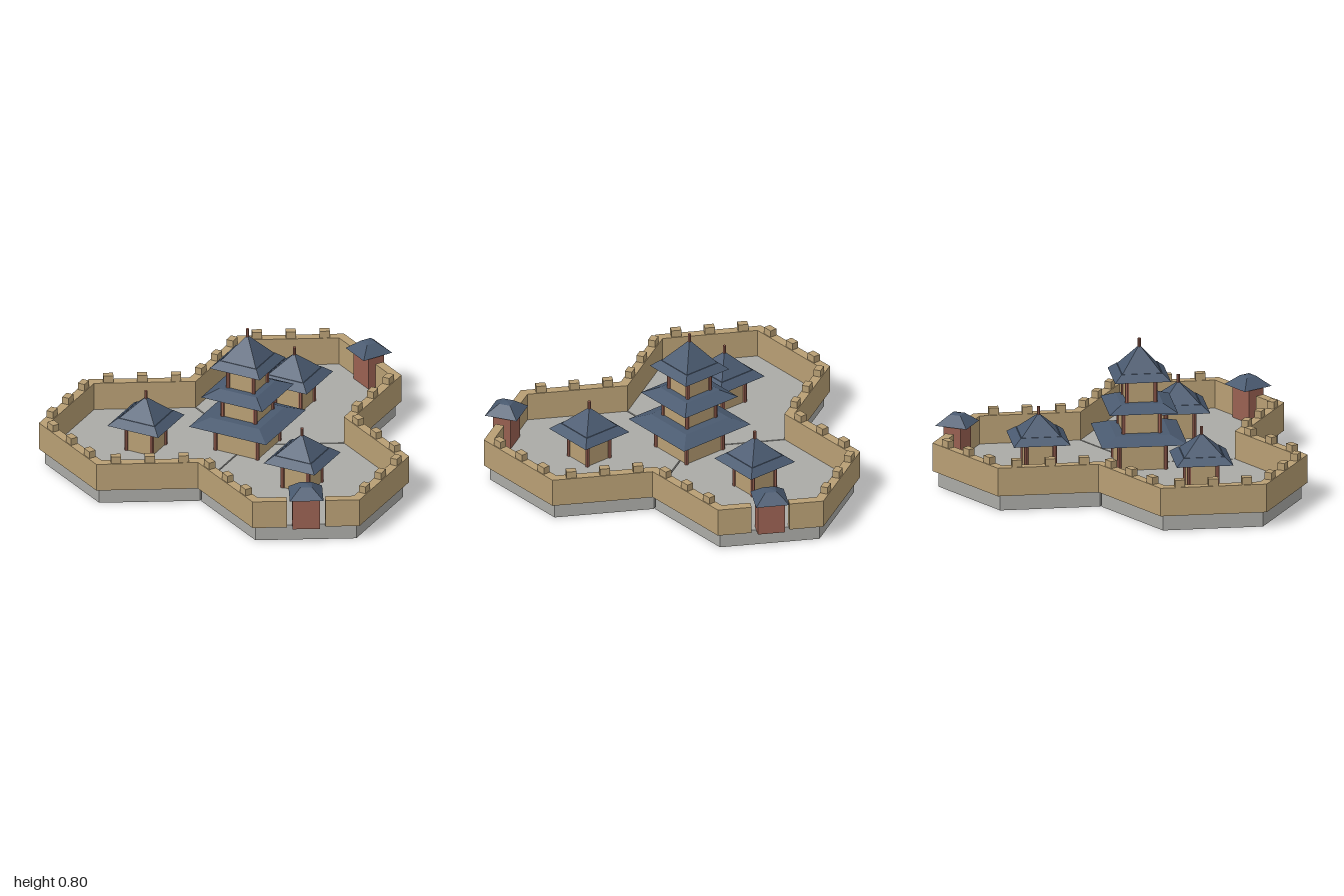
import * as THREE from 'three';

const mat = (color) => new THREE.MeshStandardMaterial({ color, flatShading: true });
const STONE = mat(0xaaaaa6), TAN = mat(0xb89f74), RED = mat(0x9a6152), ROOF = mat(0x4a5a70);

const FLOOR = 0.09, WALL_TOP = 0.25, HALF_WALL = 0.025, GATE_GAP = 0.105;
const APOTHEM = 0.48, R = APOTHEM / Math.cos(Math.PI / 6);

function add(parent, name, geometry, material, x = 0, y = 0, z = 0) {
  const mesh = new THREE.Mesh(geometry, material);
  mesh.name = name;
  mesh.position.set(x, y, z);
  parent.add(mesh);
  return mesh;
}

// Square frustum standing on y = 0, sized by half widths
function frustum(bottom, top, height) {
  return new THREE.CylinderGeometry(top * Math.SQRT2, bottom * Math.SQRT2, height, 4)
    .rotateY(Math.PI / 4).translate(0, height / 2, 0);
}

// One storey: body, corner posts and a flared skirt roof
function storey(parent, y, height, body, roofBottom, roofTop) {
  add(parent, 'storeyWalls', new THREE.BoxGeometry(body * 2 - 0.02, height, body * 2 - 0.02), TAN, 0, y + height / 2, 0);
  const p = body - 0.012;
  for (const sx of [-1, 1]) for (const sz of [-1, 1]) {
    add(parent, 'cornerPost', new THREE.CylinderGeometry(0.012, 0.012, height, 8), RED, sx * p, y + height / 2, sz * p);
  }
  add(parent, 'skirtRoof', frustum(roofBottom, roofTop, 0.038), ROOF, 0, y + height, 0);
}

// Stack of storeys closed by a pyramid roof and a finial
function pagoda(name, x, z, storeys, peak) {
  const group = new THREE.Group();
  group.name = name;
  group.position.set(x, 0, z);
  let y = FLOOR;
  for (const [body, roofBottom, roofTop] of storeys) {
    storey(group, y, y === FLOOR ? 0.163 : 0.132, body, roofBottom, roofTop);
    y += y === FLOOR ? 0.201 : 0.17;
  }
  y = y - 0.003;
  add(group, 'peakRoof', frustum(0.11, 0, peak), ROOF, 0, y, 0);
  add(group, 'finial', new THREE.CylinderGeometry(0.009, 0.009, 0.06, 8), RED, 0, y + peak + 0.007, 0);
  return group;
}

// Mitred wall strip following an open path
function wallStrip(path) {
  const dirs = path.slice(1).map((p, i) => p.clone().sub(path[i]).normalize());
  const offset = (side) => path.map((p, i) => {
    const a = dirs[Math.max(i - 1, 0)], b = dirs[Math.min(i, dirs.length - 1)];
    const n = new THREE.Vector2(-a.y - b.y, a.x + b.x).normalize();
    const miter = HALF_WALL / n.dot(new THREE.Vector2(-a.y, a.x));
    return new THREE.Vector2(p.x + n.x * miter * side, -(p.y + n.y * miter * side));
  });
  const shape = new THREE.Shape([...offset(1), ...offset(-1).reverse()]);
  return new THREE.ExtrudeGeometry(shape, { depth: WALL_TOP - FLOOR, bevelEnabled: false })
    .rotateX(-Math.PI / 2).translate(0, FLOOR, 0);
}

function gatehouse(a, b) {
  const group = new THREE.Group();
  group.name = 'gatehouse';
  group.position.set((a.x + b.x) / 2, 0, (a.y + b.y) / 2);
  group.rotation.y = -Math.atan2(b.y - a.y, b.x - a.x);
  add(group, 'gateBlock', new THREE.BoxGeometry(0.15, 0.19, 0.1), RED, 0, FLOOR + 0.095, 0);
  add(group, 'gateRoof', frustum(0.092, 0.032, 0.054), ROOF, 0, 0.282, 0);
  add(group, 'gateRoofCap', frustum(0.032, 0, 0.007), ROOF, 0, 0.336, 0);
  return group;
}

export function createModel() {
  const model = new THREE.Group();
  const row = R * 0.75;
  const centres = [[0, -row], [-APOTHEM, row], [APOTHEM, row]];

  // Hexagonal foundations, each with a pavilion
  for (const [x, z] of centres) {
    add(model, 'foundation', new THREE.CylinderGeometry(0.55, 0.55, FLOOR, 6), STONE, x, FLOOR / 2, z);
    model.add(pagoda('pavilion', x, z, [[0.09, 0.156, 0.112]], 0.11));
  }

  // Central tower
  model.add(pagoda('centralTower', 0, R / 4,
    [[0.14, 0.236, 0.15], [0.112, 0.188, 0.115], [0.09, 0.154, 0.112]], 0.137));

  // Outline through the outer corners, clockwise from the back tip
  const half = [[0, -row - R], [APOTHEM, -row - R / 2], [APOTHEM, -R / 4], [2 * APOTHEM, R / 4],
    [2 * APOTHEM, row + R / 2], [APOTHEM, row + R], [0, row + R / 2]];
  const outline = [...half, ...half.slice(1, 6).reverse().map(([x, z]) => [-x, z])]
    .map(([x, z]) => new THREE.Vector2(x, z));
  const gateEdges = [0, 4];

  // Walls run between the two gate gaps
  const gapEnd = (edge, side) => {
    const a = outline[edge], b = outline[edge + 1];
    const d = b.clone().sub(a).normalize();
    return a.clone().add(b).multiplyScalar(0.5).addScaledVector(d, side * GATE_GAP);
  };
  const [g0, g1] = gateEdges;
  add(model, 'rightWall', wallStrip([gapEnd(g0, 1), ...outline.slice(g0 + 1, g1 + 1), gapEnd(g1, -1)]), TAN);
  add(model, 'leftWall', wallStrip([gapEnd(g1, 1), ...outline.slice(g1 + 1), outline[0], gapEnd(g0, -1)]), TAN);

  // Gatehouses in the gaps, three merlons on every other edge
  outline.forEach((a, i) => {
    const b = outline[(i + 1) % outline.length];
    if (gateEdges.includes(i)) {
      model.add(gatehouse(a, b));
      return;
    }
    for (const t of [1 / 6, 1 / 2, 5 / 6]) {
      const p = a.clone().lerp(b, t);
      const merlon = add(model, 'merlon', new THREE.BoxGeometry(0.055, 0.04, 0.04), TAN, p.x, WALL_TOP + 0.02, p.y);
      merlon.rotation.y = -Math.atan2(b.y - a.y, b.x - a.x);
    }
  });
  return model;
}
